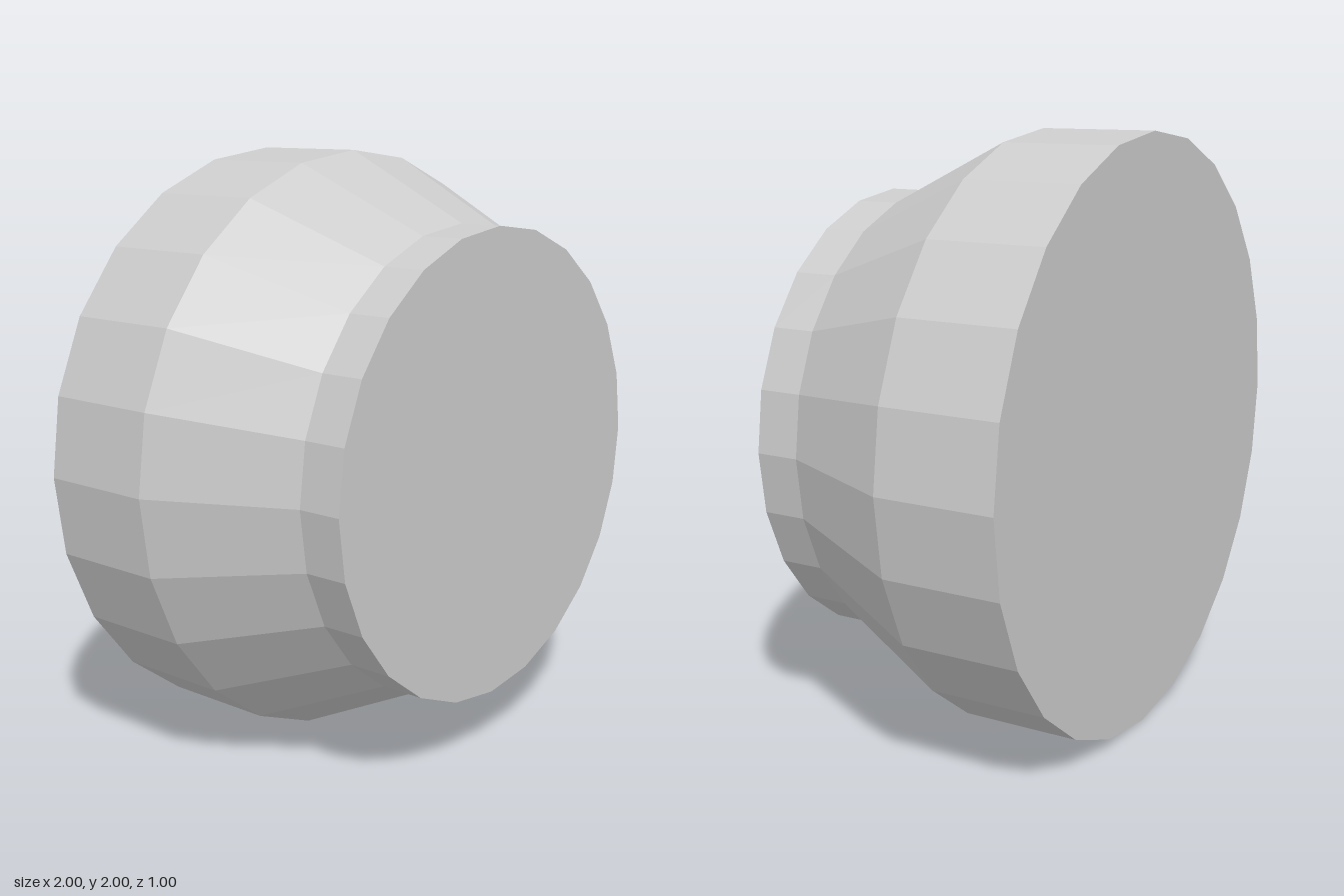
import * as THREE from 'three';

export function createModel() {
  const model = new THREE.Group();
  const material = new THREE.MeshStandardMaterial({ color: 0xcccccc, flatShading: true });

  // Closed profile [radius, z] from back cap to front cap
  const profile = [
    [0, -0.5], [1, -0.5],   // back cap
    [1, -0.1],              // wide drum
    [0.78, 0.35],           // taper
    [0.78, 0.5], [0, 0.5],  // neck and front cap
  ].map(([r, z]) => new THREE.Vector2(r, z));

  // Turn the lathe axis from y to z and rest the rim on the ground
  const geometry = new THREE.LatheGeometry(profile, 24);
  geometry.rotateX(Math.PI / 2);
  geometry.translate(0, 1, 0);

  const body = new THREE.Mesh(geometry, material);
  body.name = 'reducerBody';
  model.add(body);
  return model;
}
